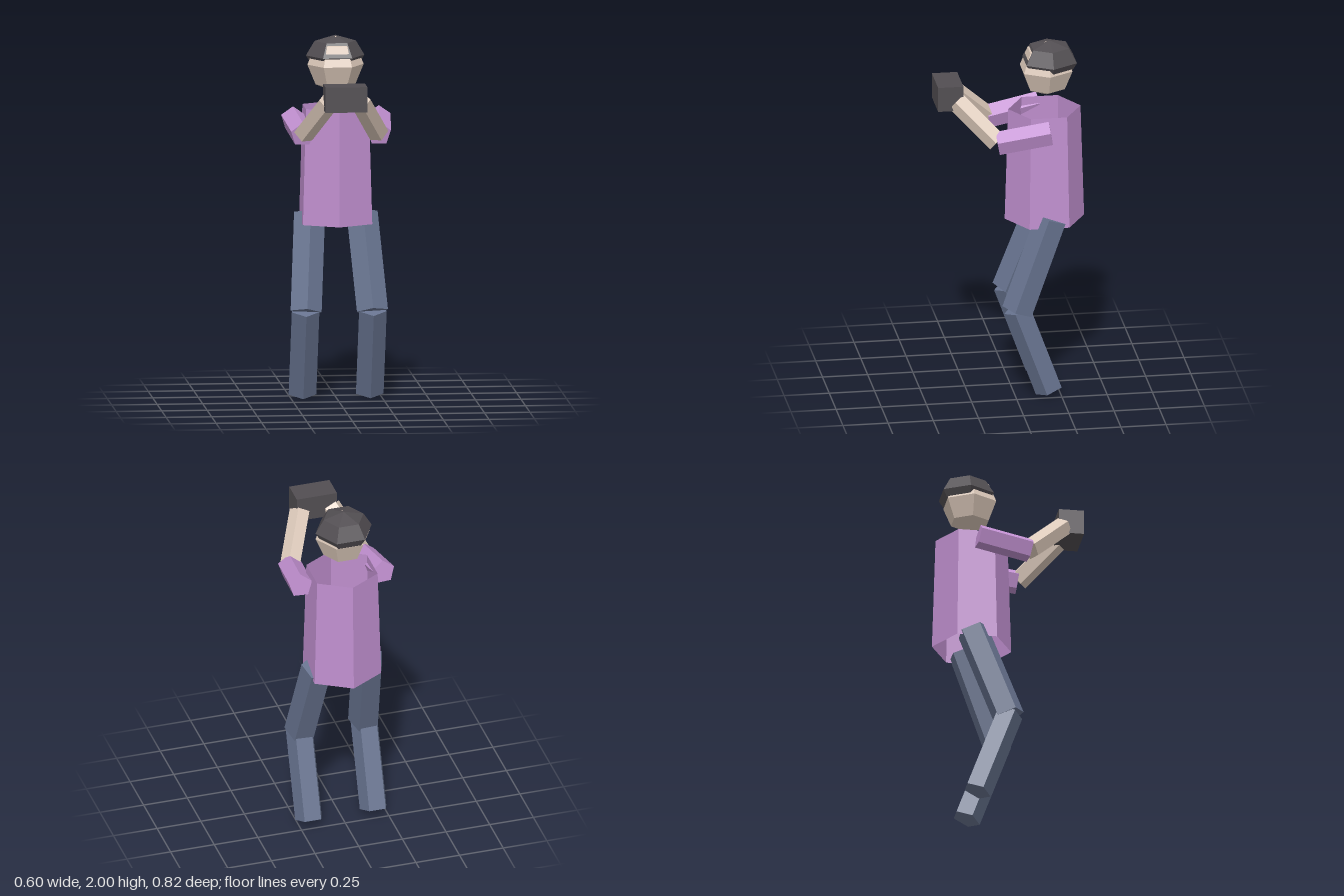
import * as THREE from 'three';

const makeMaterial = (name, color, extra = {}) => {
  const m = new THREE.MeshStandardMaterial({ color, flatShading: true, ...extra });
  m.name = name;
  return m;
};

export function createModel() {
  const model = new THREE.Group();
  model.name = 'figure';

  const shirt = makeMaterial('purple shirt', 0xc08fcf, { side: THREE.DoubleSide });
  const trousers = makeMaterial('blue trousers', 0x67738f);
  const skin = makeMaterial('skin', 0xdcc9ba);
  const dark = makeMaterial('dark grey', 0x524e52);

  const add = (name, geometry, material, x = 0, y = 0, z = 0) => {
    const mesh = new THREE.Mesh(geometry, material);
    mesh.name = name;
    mesh.position.set(x, y, z);
    model.add(mesh);
    return mesh;
  };

  // Five-sided limb from point a to point b; one ridge points along "ridge"
  const limb = (name, material, radius, a, b, ridge) => {
    const top = new THREE.Vector3(...a);
    const bottom = new THREE.Vector3(...b);
    const Y = top.clone().sub(bottom);
    const length = Y.length();
    Y.normalize();
    const Z = new THREE.Vector3(...ridge);
    Z.addScaledVector(Y, -Z.dot(Y)).normalize();
    const X = Y.clone().cross(Z);
    const mesh = add(name, new THREE.CylinderGeometry(radius, radius, length, 5), material);
    mesh.position.copy(top).add(bottom).multiplyScalar(0.5);
    mesh.quaternion.setFromRotationMatrix(new THREE.Matrix4().makeBasis(X, Y, Z));
  };

  // Torso: open six-sided sleeve
  add('torso', new THREE.CylinderGeometry(0.2, 0.22, 0.64, 6, 1, true), shirt, 0, 1.29, -0.19);

  // Head with a flattened cap of hair
  add('head', new THREE.SphereGeometry(0.155, 6, 4), skin, 0, 1.84, -0.2);
  add('hair', new THREE.SphereGeometry(0.161, 6, 4), dark, 0, 1.888, -0.219).scale.y = 0.696;

  // Arms and legs, mirrored
  for (const [side, s] of [['left', 1], ['right', -1]]) {
    const up = [0, 1, 0];
    const front = [0, 0, 1];
    limb(side + 'UpperArm', shirt, 0.068, [s * 0.237, 1.547, -0.19], [s * 0.21, 1.495, 0.1], up);
    limb(side + 'Forearm', skin, 0.058, [s * 0.205, 1.5, 0.1], [s * 0.087, 1.705, 0.305], up);
    limb(side + 'Thigh', trousers, 0.09, [s * 0.145, 1.015, -0.208], [s * 0.183, 0.497, -0.015], front);
    limb(side + 'Shin', trousers, 0.08, [s * 0.185, 0.51, -0.015], [s * 0.185, 0.03, -0.19], front);
  }

  // Box held up in front of the face
  add('heldBox', new THREE.BoxGeometry(0.23, 0.14, 0.14), dark, 0, 1.73, 0.345);

  return model;
}
